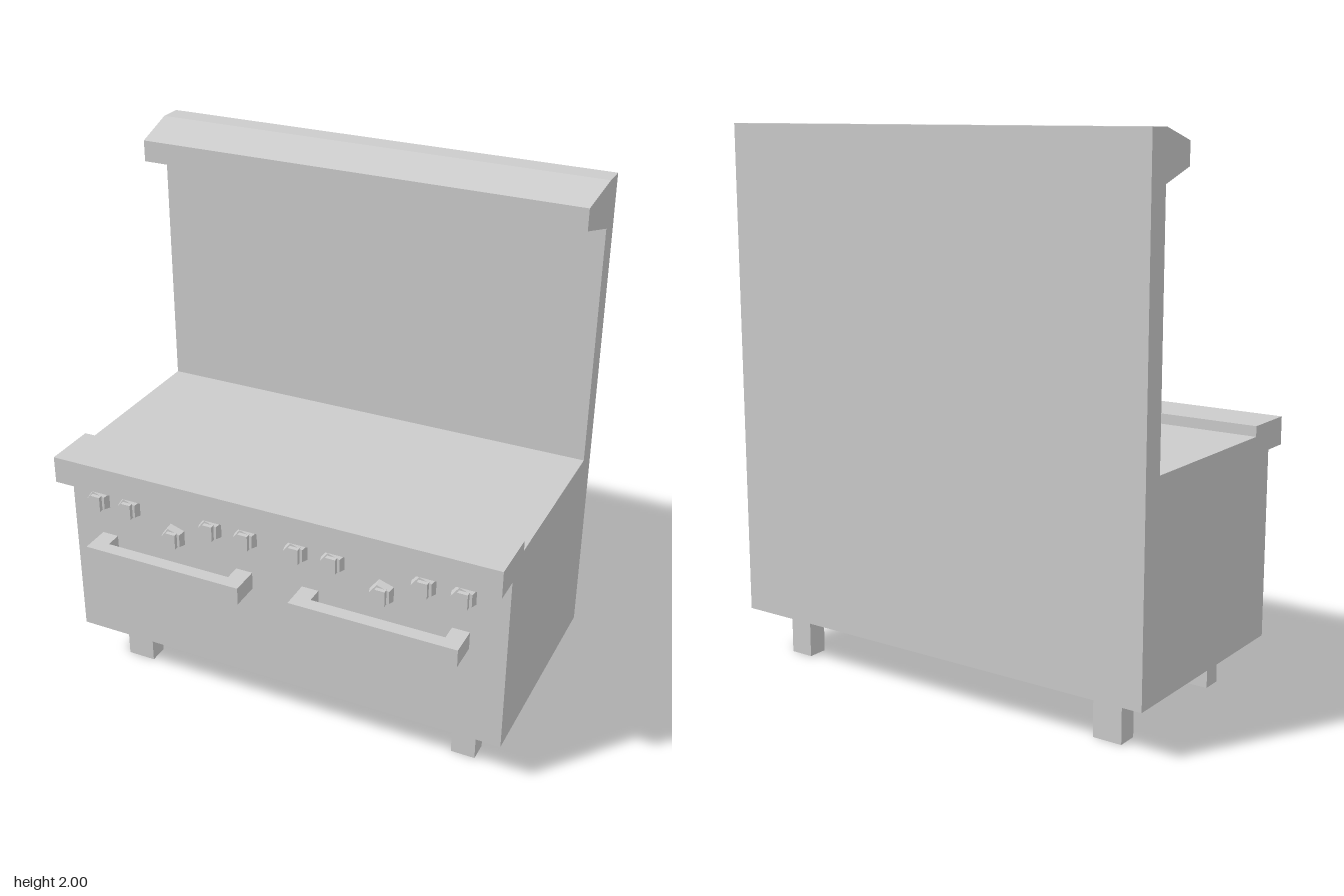
import * as THREE from 'three';

const W = 1.724; // overall width
const BACK = -0.486, FRONT = 0.375;

export function createModel() {
  const range = new THREE.Group();
  range.name = 'kitchenRange';
  const mat = new THREE.MeshStandardMaterial({ color: 0xcccccc, flatShading: true });

  const add = (parent, name, geometry) => {
    const mesh = new THREE.Mesh(geometry, mat);
    mesh.name = name;
    parent.add(mesh);
    return mesh;
  };
  // Box given by its limits on each axis
  const box = (parent, name, [x0, x1], [y0, y1], [z0, z1]) =>
    add(parent, name, new THREE.BoxGeometry(x1 - x0, y1 - y0, z1 - z0)
      .translate((x0 + x1) / 2, (y0 + y1) / 2, (z0 + z1) / 2));

  // Body, cooktop, front ledge and back panel: one side profile (z, y) swept across the width
  const profile = new THREE.Shape([
    [BACK, 0.175], [FRONT, 0.175], [FRONT, 0.867], [0.477, 0.867], [0.477, 0.97],
    [0.273, 0.97], [0.273, 0.932], [-0.4, 0.932], [-0.4, 2], [BACK, 2],
  ].map(([z, y]) => new THREE.Vector2(z, y)));
  add(range, 'body', new THREE.ExtrudeGeometry(profile, { depth: W, bevelEnabled: false })
    .rotateY(-Math.PI / 2).translate(W / 2, 0, 0));

  // Top shelf: a box whose front face is drawn in on all sides
  const shelf = new THREE.BoxGeometry(W, 0.17, 0.176).translate(0, 1.915, -0.312);
  const p = shelf.attributes.position;
  for (let i = 0; i < p.count; i++) {
    if (p.getZ(i) < -0.3) continue;
    p.setX(i, Math.sign(p.getX(i)) * 0.846);
    p.setY(i, p.getY(i) > 1.915 ? 1.956 : 1.877);
  }
  shelf.computeVertexNormals();
  add(range, 'topShelf', shelf);

  // Legs
  for (const x of [[-0.735, -0.625], [0.645, 0.737]])
    for (const z of [[0.2, 0.275], [-0.395, -0.318]])
      box(range, 'leg', x, [0, 0.175], z);

  // Oven door handles: a bar on two end posts
  for (const [x0, x1] of [[-0.745, -0.11], [0.09, 0.726]]) {
    const handle = new THREE.Group();
    handle.name = 'doorHandle';
    range.add(handle);
    const y = [0.556, 0.624];
    box(handle, 'handleBar', [x0, x1], y, [0.437, 0.488]);
    box(handle, 'handlePost', [x0, x0 + 0.065], y, [FRONT, 0.437]);
    box(handle, 'handlePost', [x1 - 0.065, x1], y, [FRONT, 0.437]);
  }

  // Five-sided control knobs with a raised grip; two sit lower than the rest
  const dial = new THREE.CylinderGeometry(0.042, 0.05, 0.027, 5)
    .rotateX(Math.PI / 2).rotateZ(-Math.PI / 2).translate(0, 0, 0.0135);
  // Turn the dial so that a corner points to -x
  dial.computeBoundingBox();
  if (dial.boundingBox.max.x > -dial.boundingBox.min.x) dial.rotateZ(Math.PI);
  const high = 0.772, low = 0.695;
  for (const [x, y] of [
    [-0.745, high], [-0.613, high], [-0.428, low], [-0.272, high], [-0.128, high],
    [0.072, high], [0.216, high], [0.403, low], [0.557, high], [0.702, high],
  ]) {
    const knob = new THREE.Group();
    knob.name = 'knob';
    knob.position.set(x, y, FRONT);
    range.add(knob);
    add(knob, 'knobDial', dial);
    box(knob, 'knobGrip', [-0.014, 0.024], [-0.03, 0.03], [0.02, 0.043]);
  }
  return range;
}
